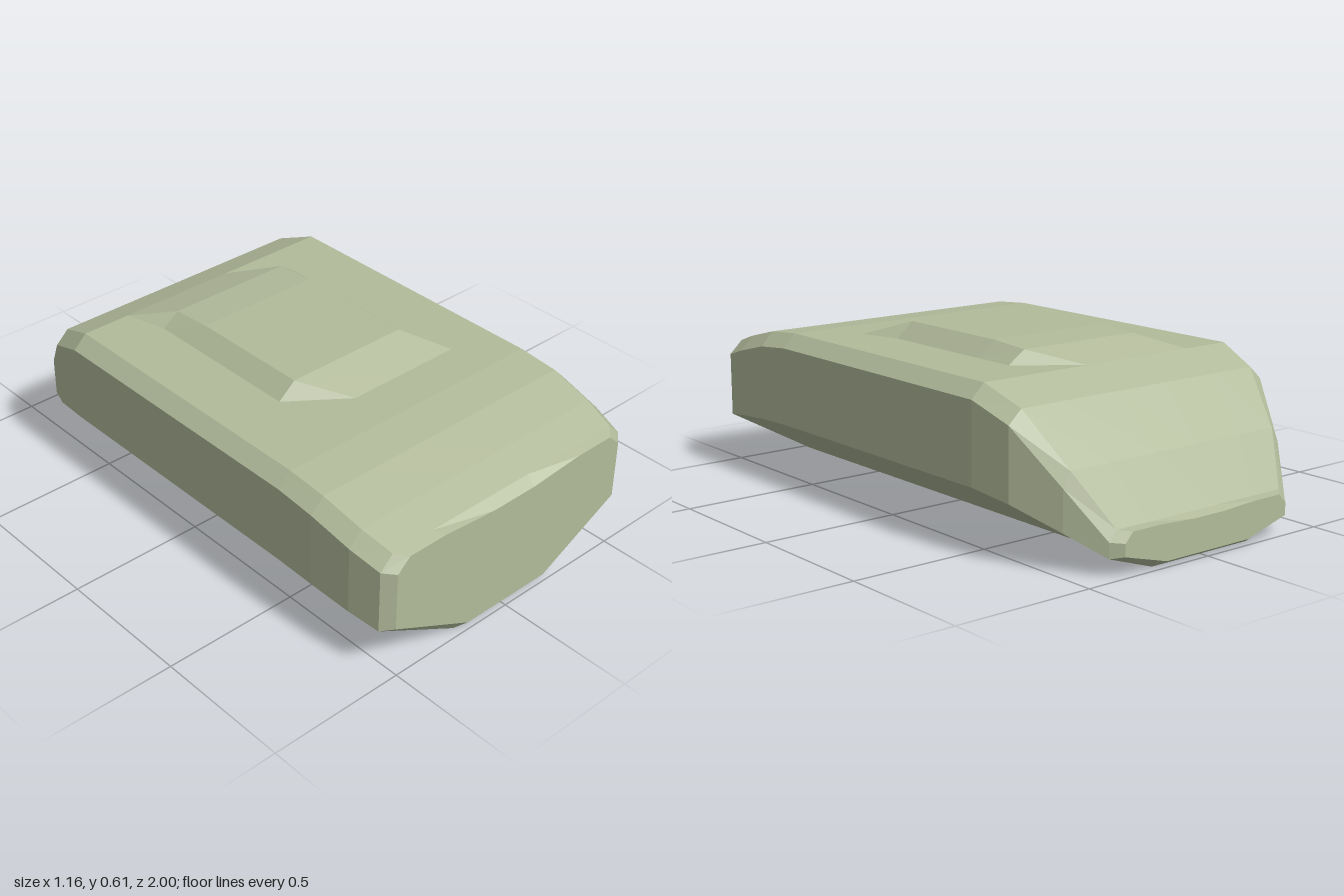
import * as THREE from 'three';

// Flank outline from front to back: [z, half width, lower edge y, upper edge y, deck y]
const FLAT = [0.58, 0.225, 0.505, 0.553];
const stations = [
  [1, 0.51, 0.195, 0.41, 0.455],
  [0.965, 0.55, 0.187, 0.417, 0.465],
  [0.85, 0.57, 0.205, 0.45, 0.5],
  [0.69, 0.58, 0.22, 0.49, 0.54],
  ...[0.54, 0.38, 0.23, -0.23, -0.385, -0.54].map((z) => [z, ...FLAT]),
  [-0.69, 0.555, 0.2, 0.447, 0.493],
  [-0.85, 0.475, 0.13, 0.27, 0.32],
  [-0.965, 0.39, 0.06, 0.112, 0.147],
  [-1, 0.355, 0.068, 0.11, 0.143],
];

// Closed ring of one station, counter-clockwise when seen from the front
function ring([z, side, low, up, top]) {
  const end = Math.abs(z) === 1;
  const raised = z < 0.3 && z > -0.4;
  // Belly narrows and lifts at the two ends
  const belly = end ? [0.18, z > 0 ? 0.03 : 0.02] : [0.21, 0];
  // The deck lifts into a panel amidships and dips slightly at the ends
  const shoulder = [side - (z < -0.8 ? 0.03 : 0.05), top];
  const panelFoot = [raised ? 0.305 : side * 0.6, top];
  const panelEdge = raised
    ? [0.24, z < -0.3 ? 0.598 : 0.608]
    : [side * 0.18, end ? top - (z > 0 ? 0.018 : 0.008) : top];
  const half = [belly, [side, low], [side, up], shoulder, panelFoot, panelEdge];
  const mirrored = half.map(([x, y]) => [-x, y]).reverse();
  return [...half, ...mirrored].map(([x, y]) => [x, y, z]);
}

// Skin between neighbouring rings, with both ends closed
function loft(rings) {
  const position = [];
  const n = rings[0].length;
  const tri = (a, b, c) => position.push(...a, ...b, ...c);
  for (let i = 0; i < rings.length - 1; i++) {
    for (let j = 0; j < n; j++) {
      const k = (j + 1) % n;
      const a = rings[i][j], b = rings[i][k], c = rings[i + 1][k], d = rings[i + 1][j];
      tri(a, d, c);
      tri(a, c, b);
    }
  }
  // End caps, fanned from a middle point
  const cap = (r) => {
    const mid = [0, (r[0][1] + r[3][1]) / 2, r[0][2]];
    r.forEach((p, j) => tri(mid, p, r[(j + 1) % n]));
  };
  cap(rings[0]);
  cap([...rings[rings.length - 1]].reverse());
  const geometry = new THREE.BufferGeometry();
  geometry.setAttribute('position', new THREE.Float32BufferAttribute(position, 3));
  geometry.computeVertexNormals();
  return geometry;
}

export function createModel() {
  const group = new THREE.Group();
  const material = new THREE.MeshStandardMaterial({ color: 0xb2bb9b, flatShading: true });
  // Faceted shell with the raised deck panel in its top
  const shell = new THREE.Mesh(loft(stations.map(ring)), material);
  shell.name = 'shell';
  group.add(shell);
  return group;
}
